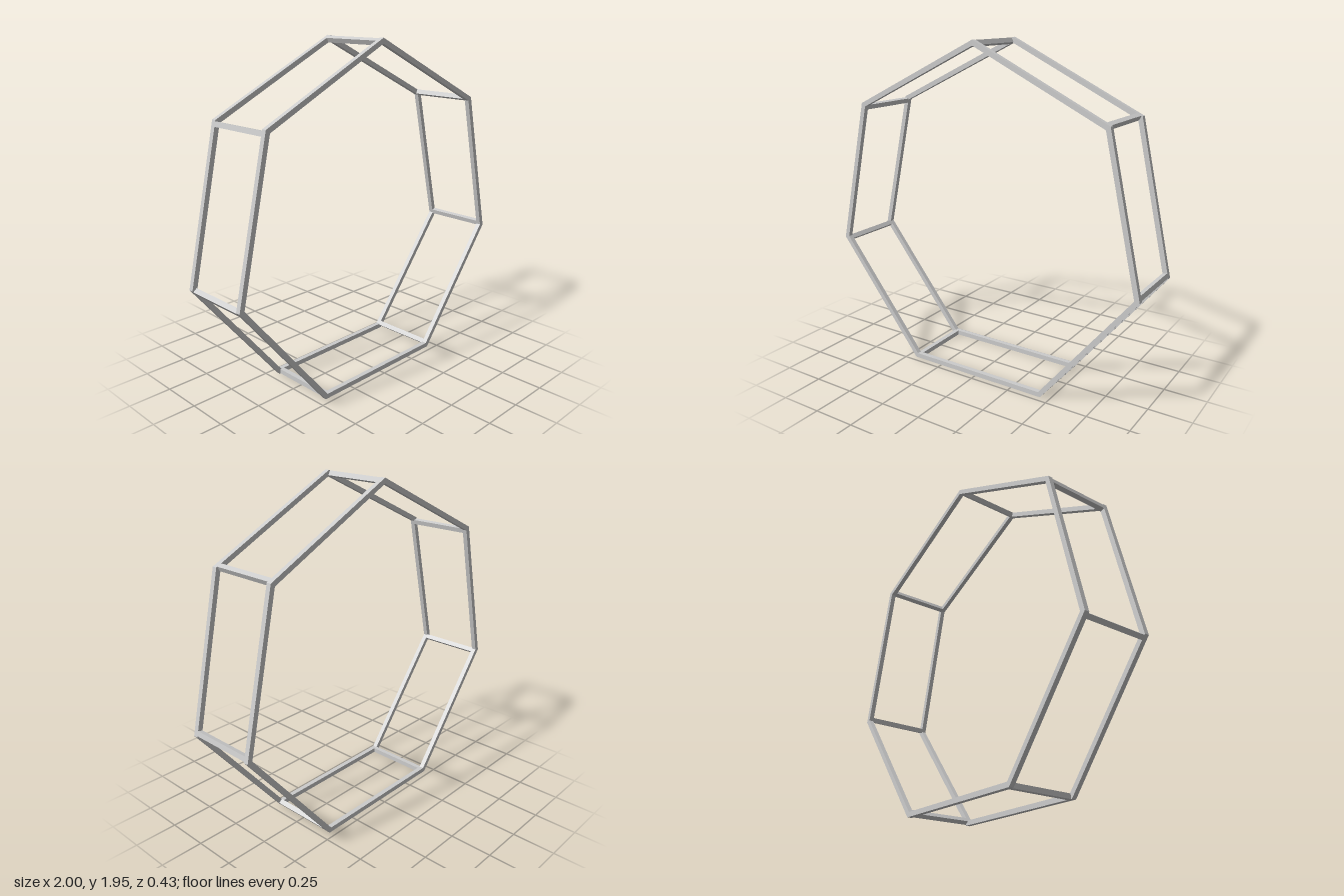
import * as THREE from 'three';

const SIDES = 7;
const RADIUS = 1.0257;              // outer corner radius, gives a width of 2
const BAR = 0.028;                  // square bar thickness
const HALF_DEPTH = 0.215;
const HALF_ANGLE = Math.PI / SIDES;
const CENTRE_Y = RADIUS * Math.cos(HALF_ANGLE);

// Corners counterclockwise from the apex
function corners(radius) {
  return Array.from({ length: SIDES }, (_, i) => {
    const a = Math.PI / 2 + i * 2 * HALF_ANGLE;
    return new THREE.Vector2(radius * Math.cos(a), CENTRE_Y + radius * Math.sin(a));
  });
}

export function createModel() {
  const group = new THREE.Group();
  const material = new THREE.MeshStandardMaterial({ color: 0xcccccc, flatShading: true });
  const add = (name, geometry) => {
    const mesh = new THREE.Mesh(geometry, material);
    mesh.name = name;
    group.add(mesh);
    return mesh;
  };

  // Two mitred seven-sided rings
  const outer = corners(RADIUS);
  const shape = new THREE.Shape(outer);
  shape.holes.push(new THREE.Path(corners(RADIUS - BAR / Math.cos(HALF_ANGLE)).reverse()));
  const ring = new THREE.ExtrudeGeometry(shape, { depth: BAR, bevelEnabled: false });
  add('frontRing', ring).position.z = HALF_DEPTH - BAR;
  add('backRing', ring).position.z = -HALF_DEPTH;

  // Square cross bars, each at the start of a side and aligned with it
  const bar = new THREE.BoxGeometry(BAR, BAR, 2 * (HALF_DEPTH - BAR));
  outer.forEach((start, i) => {
    const along = outer[(i + 1) % SIDES].clone().sub(start).normalize();
    const inward = new THREE.Vector2(-along.y, along.x);
    const p = start.clone().addScaledVector(along, 0.007 + BAR / 2).addScaledVector(inward, BAR / 2);
    const mesh = add('crossBar' + (i + 1), bar);
    mesh.position.set(p.x, p.y, 0);
    mesh.rotation.z = Math.atan2(along.y, along.x);
  });

  return group;
}
